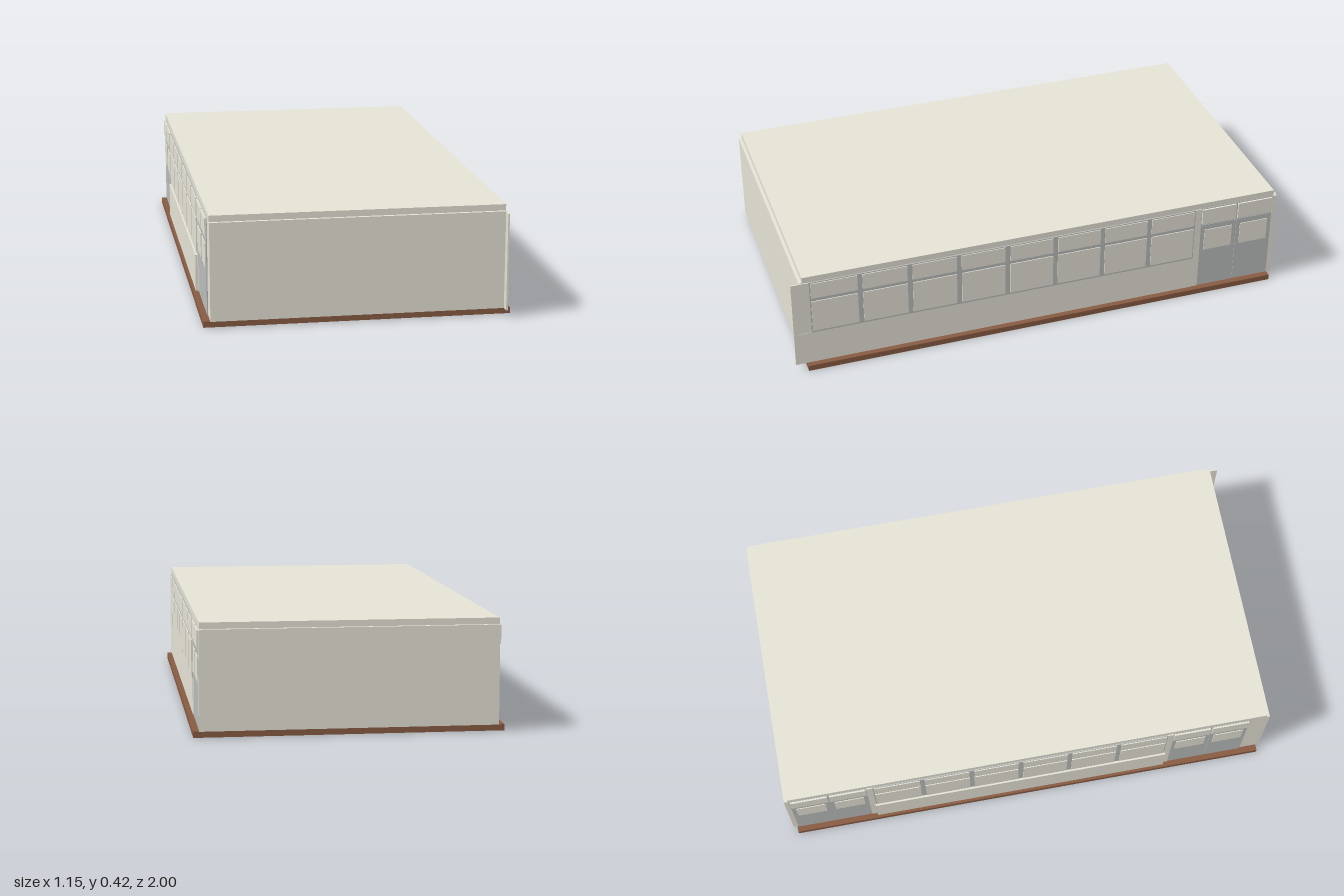
import * as THREE from 'three';

export function createModel() {
  const model = new THREE.Group();
  model.name = 'longBuilding';
  const mat = (name, color) => {
    const m = new THREE.MeshStandardMaterial({ color });
    m.name = name;
    return m;
  };
  const wall = mat('beigeWall', 0xe5e2d5);
  const grey = mat('greyFrame', 0xb9bdba);
  const brown = mat('brownBase', 0x885b43);
  const amber = mat('amberFloor', 0x8f5a24);

  // Box given by its lower and upper limits on each axis
  const box = (name, m, x0, x1, y0, y1, z0, z1, parent = model) => {
    const mesh = new THREE.Mesh(new THREE.BoxGeometry(Math.abs(x1 - x0), y1 - y0, z1 - z0), m);
    mesh.position.set((x0 + x1) / 2, (y0 + y1) / 2, (z0 + z1) / 2);
    mesh.name = name;
    parent.add(mesh);
  };

  // Base: a floor with a shallow rim, open underneath
  box('baseFloor', brown, -0.577, 0.577, 0.012, 0.023, -0.985, 0.955);
  for (const s of [-1, 1])
    box('baseSideRim', brown, s * 0.572, s * 0.577, 0, 0.012, -0.985, 0.955);
  for (const z of [-0.985, 0.95])
    box('baseEndRim', brown, -0.572, 0.572, 0, 0.012, z, z + 0.005);
  box('backFloorStrip', amber, -0.42, 0.44, 0.01, 0.012, -0.93, -0.87);

  // Main volumes
  box('body', wall, -0.552, 0.552, 0.025, 0.398, -1, 0.968);
  box('roof', wall, -0.553, 0.553, 0.398, 0.422, -0.985, 0.955);

  // Grey backing with rows of raised panes, so the gaps read as bars
  const windowRow = (side, z0, z1, count) => {
    const g = new THREE.Group();
    g.name = 'windowRow';
    model.add(g);
    box('frameBacking', grey, side * 0.55, side * 0.5575, 0.165, 0.396, z0, z1, g);
    const step = (z1 - z0) / count;
    for (let i = 0; i < count; i++) {
      const a = z0 + i * step + (i === 0 ? 0.005 : 0.01);
      const b = z0 + (i + 1) * step - (i === count - 1 ? 0.005 : 0.01);
      box('lowerPane', wall, side * 0.55, side * 0.561, 0.174, 0.31, a, b, g);
      box('upperPane', wall, side * 0.55, side * 0.561, 0.325, 0.392, a, b, g);
    }
  };

  // Double door: two grey leaves with a pane each and two lights above
  const doubleDoor = (side, z0, z1) => {
    const g = new THREE.Group();
    g.name = 'doubleDoor';
    model.add(g);
    const mid = (z0 + z1) / 2;
    box('doorFrame', grey, side * 0.55, side * 0.554, 0.025, 0.396, z0, z1, g);
    for (const [a, b] of [[z0, mid - 0.001], [mid + 0.001, z1]]) {
      box('doorLeaf', grey, side * 0.55, side * 0.556, 0.027, 0.318, a, b, g);
      box('doorPane', wall, side * 0.55, side * 0.559, 0.2, 0.295, a + 0.017, b - 0.017, g);
      box('lightPane', wall, side * 0.55, side * 0.561, 0.325, 0.393, a + 0.003, b - 0.003, g);
    }
  };

  // +x side: eight windows and one door, the wall runs past the front end
  box('leftParapet', wall, 0.55, 0.557, 0.025, 0.165, -0.645, 1);
  box('leftFrontPier', wall, 0.55, 0.556, 0.165, 0.396, 0.93, 1);
  box('leftDoorPost', wall, 0.55, 0.556, 0.025, 0.396, -0.672, -0.645);
  box('leftBackPier', wall, 0.55, 0.556, 0.025, 0.396, -1, -0.98);
  windowRow(1, -0.645, 0.93, 8);
  doubleDoor(1, -0.98, -0.672);

  // -x side: six windows between two doors, the parapet reaches into the base
  box('rightParapet', wall, -0.566, -0.552, 0.004, 0.167, -0.65, 0.555);
  for (const z of [-0.672, 0.55])
    box('rightDoorPost', wall, -0.557, -0.55, 0.025, 0.396, z, z + 0.025);
  windowRow(-1, -0.647, 0.55, 6);
  doubleDoor(-1, -0.98, -0.672);
  doubleDoor(-1, 0.575, 0.885);

  return model;
}
